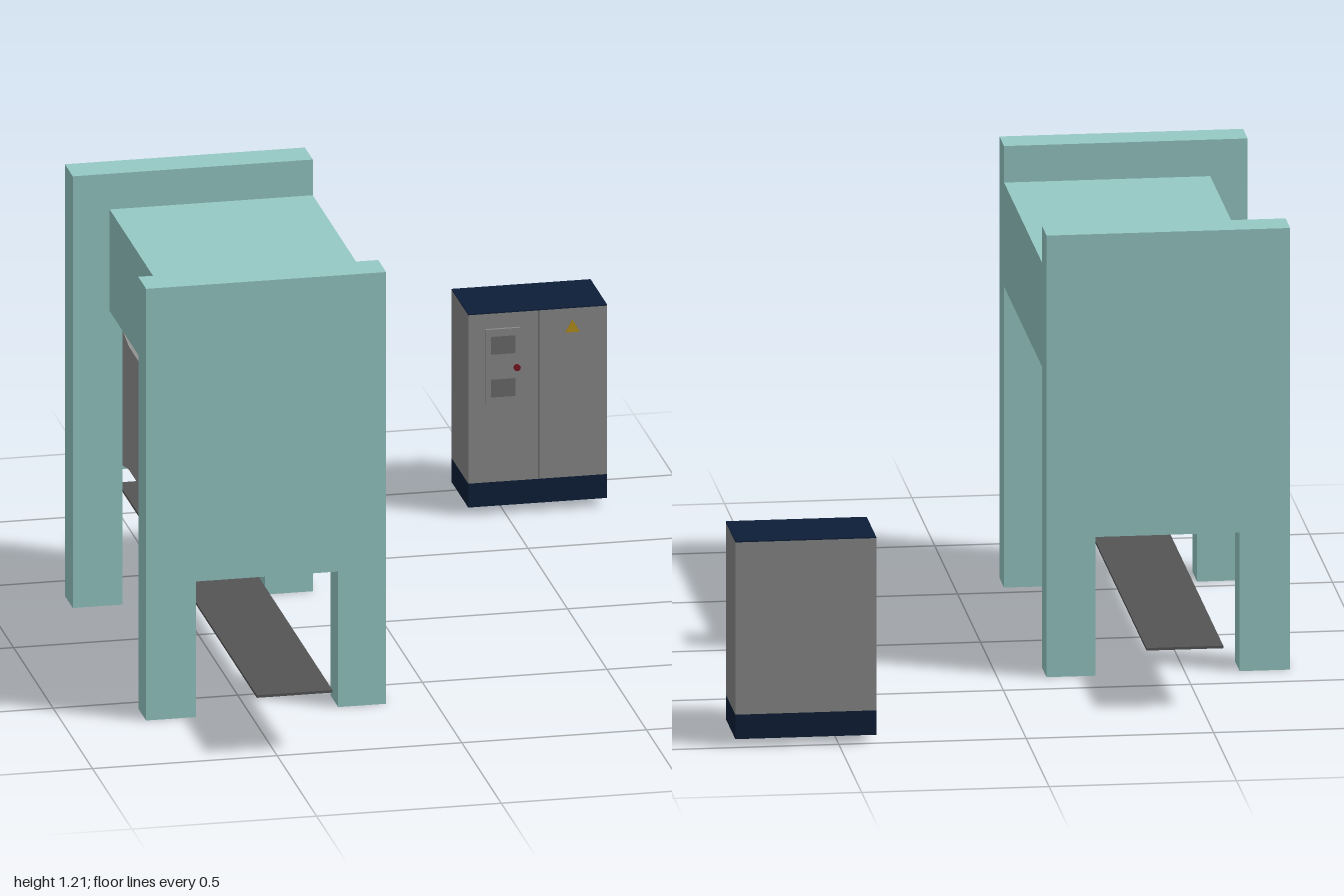
import * as THREE from 'three';

const mat = (color) => new THREE.MeshStandardMaterial({ color });
const teal = mat(0x96c9c5), steel = mat(0x929292), lightSteel = mat(0xb2b2b2), dark = mat(0x444444),
  belt = mat(0x555555), panel = mat(0x8a8a8a), inset = mat(0x6c6c6c), navy = mat(0x0d1e38),
  red = mat(0x7a1420), yellow = mat(0xb8901c);

export function createModel() {
  const group = new THREE.Group();

  const add = (name, geometry, material) => {
    const mesh = new THREE.Mesh(geometry, material);
    mesh.name = name;
    group.add(mesh);
    return mesh;
  };
  // Box given by its lower and upper bounds on each axis
  const box = (name, material, x0, x1, y0, y1, z0, z1) => {
    const mesh = add(name, new THREE.BoxGeometry(x1 - x0, y1 - y0, z1 - z0), material);
    mesh.position.set((x0 + x1) / 2, (y0 + y1) / 2, (z0 + z1) / 2);
    return mesh;
  };
  // Outline pushed along z
  const extrude = (points, depth) => new THREE.ExtrudeGeometry(
    new THREE.Shape(points.map(([x, y]) => new THREE.Vector2(x, y))),
    { depth, bevelEnabled: false });

  // End frames: a tall slab with an opening between two legs
  const frame = [[-0.78, 0], [-0.645, 0], [-0.645, 0.38], [-0.26, 0.38],
    [-0.26, 0], [-0.13, 0], [-0.13, 1.21], [-0.78, 1.21]];
  for (const [name, z] of [['frontFrame', 0.55], ['backFrame', -0.38]]) {
    add(name, extrude(frame, 0.1), teal).position.z = z;
  }

  // Crown beam joining the frames
  box('crownBeam', teal, -0.68, -0.13, 0.825, 1.11, -0.28, 0.55);

  // Press ram: side profile in z and y, flared at both ends, pushed across x
  const ram = [[-0.28, 0.39], [-0.2, 0.405], [0.47, 0.405], [0.55, 0.39],
    [0.55, 0.768], [0.47, 0.75], [-0.2, 0.75], [-0.28, 0.768]];
  const ramGeometry = extrude(ram.map(([z, y]) => [-z, y]), 0.385);
  ramGeometry.rotateY(Math.PI / 2);
  add('pressRam', ramGeometry, steel).position.x = -0.645;

  // Die plate below the ram
  box('diePlate', lightSteel, -0.58, -0.325, 0.365, 0.405, -0.12, 0.395);

  // Piston rods between beam and ram
  for (const z of [0.353, -0.072]) {
    add('pistonRod', new THREE.CylinderGeometry(0.042, 0.042, 0.08, 32), dark)
      .position.set(-0.4525, 0.788, z);
  }

  // Sheet feeding through the press
  box('feedSheet', belt, -0.555, -0.35, 0.166, 0.173, -0.76, 1);

  // Control cabinet: base, body and thin roof
  box('cabinetBase', navy, 0.4, 0.776, 0.023, 0.09, -1, -0.79);
  box('cabinetBody', panel, 0.4, 0.776, 0.09, 0.562, -1, -0.79);
  box('cabinetRoof', navy, 0.4, 0.776, 0.562, 0.565, -1, -0.79);
  box('doorSeam', inset, 0.589, 0.593, 0.09, 0.562, -0.792, -0.789);

  // Control door with two inset windows and a knob
  box('controlDoor', panel, 0.445, 0.54, 0.31, 0.52, -0.79, -0.782);
  for (const y of [0.33, 0.45]) {
    box('doorWindow', inset, 0.46, 0.526, y, y + 0.05, -0.784, -0.781);
  }
  const knob = add('doorKnob', new THREE.CylinderGeometry(0.009, 0.009, 0.008, 20), red);
  knob.rotation.x = Math.PI / 2;
  knob.position.set(0.53, 0.41, -0.779);

  // Warning triangle
  add('warningSign', extrude([[0.662, 0.495], [0.702, 0.495], [0.682, 0.53]], 0.002), yellow)
    .position.z = -0.79;

  return group;
}
